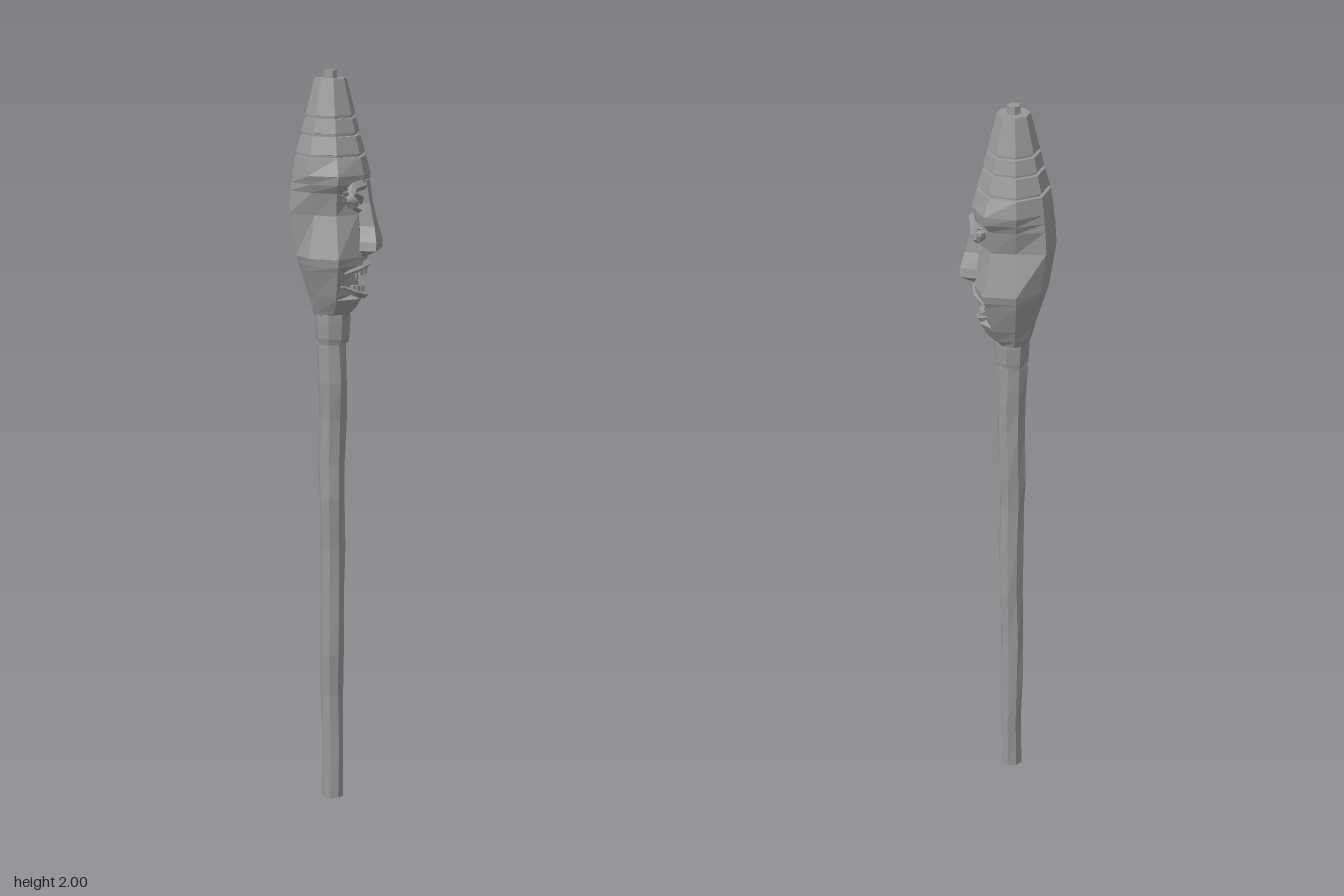
import * as THREE from 'three';

const material = new THREE.MeshStandardMaterial({ color: 0x989898, flatShading: true });

// Joins rings of [x, y, z] points, listed bottom to top, into a capped flat-shaded skin.
// Each ring turns from +z towards +x.
function loft(name, rings) {
  const pos = [], n = rings[0].length;
  const tri = (a, b, c) => pos.push(...a, ...b, ...c);
  for (let k = 0; k < rings.length - 1; k++) {
    for (let i = 0; i < n; i++) {
      const j = (i + 1) % n, lo = rings[k], hi = rings[k + 1];
      tri(lo[i], lo[j], hi[j]);
      tri(lo[i], hi[j], hi[i]);
    }
  }
  const top = rings[rings.length - 1], bottom = rings[0];
  for (let i = 1; i < n - 1; i++) {
    tri(top[0], top[i], top[i + 1]);
    tri(bottom[0], bottom[i + 1], bottom[i]);
  }
  const geo = new THREE.BufferGeometry();
  geo.setAttribute('position', new THREE.Float32BufferAttribute(pos, 3));
  geo.computeVertexNormals();
  const mesh = new THREE.Mesh(geo, material);
  mesh.name = name;
  return mesh;
}

// Eight-sided ring, mirrored in x; radii run from the face round to the back.
function headRing([y, front, side = front, rear = side, back = side]) {
  const half = [front, side, rear, back];
  return [...half, ...half.slice().reverse()].map((r, i) => {
    const a = (i + 0.5) * Math.PI / 4;
    return [r * Math.sin(a), y, r * Math.cos(a)];
  });
}

function place(geo, name, parent, x, y, z, rx = 0, ry = 0, rz = 0) {
  const mesh = new THREE.Mesh(geo, material);
  mesh.name = name;
  mesh.position.set(x, y, z);
  mesh.rotation.set(rx, ry, rz);
  parent.add(mesh);
  return mesh;
}

// Beam of diamond section following a few points from -x to +x, tapering at both ends.
function ridge(name, points, w, h) {
  return loft(name, points.map(([x, y, z], i) => {
    const s = i === 0 || i === points.length - 1 ? 0.35 : 1;
    return [[x, y, z + w * s], [x, y - h * s, z], [x, y, z - w * s], [x, y + h * s, z]];
  }));
}

// The same beam on the chosen side of the face; points run outwards from the nose.
function sideRidge(name, side, points, w, h) {
  const pts = points.map(([x, y, z]) => [side * x, y, z]);
  return ridge(name, side > 0 ? pts : pts.reverse(), w, h);
}

function makePole() {
  // Whittled shaft: uneven octagons that drift slightly off the axis
  const shaft = [[0, 0.03], [0.15, 0.03], [0.3, 0.031], [0.42, 0.033], [0.58, 0.033], [0.72, 0.034],
    [0.86, 0.035], [0.95, 0.037], [1.08, 0.037], [1.18, 0.04], [1.28, 0.04], [1.34, 0.04]];
  const collar = [[1.285, 0.041], [1.3, 0.045], [1.345, 0.048], [1.365, 0.048]];
  const ring = ([y, r], k, wobble) => Array.from({ length: 8 }, (_, i) => {
    const a = (i + 0.5) * Math.PI / 4;
    const rr = r * (1 + wobble * Math.sin(k * 2.3 + i * 1.9));
    return [-0.012 + 0.002 * Math.sin(k * 1.7) + rr * Math.sin(a), y,
      -0.005 + 0.002 * Math.cos(k * 2.1) + rr * Math.cos(a)];
  });
  const group = new THREE.Group();
  group.name = 'pole';
  group.add(loft('shaft', shaft.map((s, k) => ring(s, k, k ? 0.05 : 0))));
  group.add(loft('collar', collar.map((s) => ring(s, 0, 0.03))));
  return group;
}

function makeFace(head) {
  // Long nose, widening to square nostrils
  const nose = [[1.522, 0.03, 0.07, 0.1], [1.537, 0.046, 0.07, 0.131], [1.56, 0.042, 0.07, 0.131],
    [1.6, 0.026, 0.06, 0.123], [1.66, 0.02, 0.06, 0.109], [1.72, 0.024, 0.06, 0.1]];
  head.add(loft('nose', nose.map(([y, w, z0, z1]) => [[-w, y, z1], [w, y, z1], [w * 0.9, y, z0], [-w * 0.9, y, z0]])));

  for (const s of [-1, 1]) {
    // Slanted eye between two heavy lids, under a jutting brow
    const eye = place(new THREE.SphereGeometry(1, 8, 5), 'eyeball', head, s * 0.055, 1.667, 0.067, 0, s * 0.6, s * 0.35);
    eye.scale.set(0.027, 0.014, 0.016);
    head.add(sideRidge('upperLid', s, [[0.024, 1.658, 0.086], [0.042, 1.678, 0.088], [0.064, 1.69, 0.074], [0.084, 1.694, 0.054]], 0.01, 0.007));
    head.add(sideRidge('lowerLid', s, [[0.024, 1.652, 0.084], [0.042, 1.643, 0.084], [0.064, 1.655, 0.07], [0.084, 1.686, 0.05]], 0.01, 0.007));
    head.add(sideRidge('brow', s, [[0.012, 1.7, 0.097], [0.045, 1.71, 0.092], [0.082, 1.705, 0.075], [0.097, 1.68, 0.076]], 0.013, 0.014));
  }

  // Bared mouth: curved lips and two rows of teeth
  const arc = (y, dip, depth) => [-0.07, -0.045, 0, 0.045, 0.07].map((x) =>
    [x, y + dip * (x / 0.07) ** 2, depth - 0.045 * (x / 0.07) ** 2]);
  head.add(ridge('upperLip', arc(1.5, -0.02, 0.1), 0.012, 0.011));
  head.add(ridge('lowerLip', arc(1.415, 0.03, 0.09), 0.012, 0.01));
  const tooth = new THREE.BoxGeometry(0.011, 0.02, 0.012);
  const fang = new THREE.ConeGeometry(0.009, 0.034, 4);
  for (let i = -3; i <= 3; i++) {
    const x = i * 0.0135, z = 0.092 - 9 * x * x, turn = 18 * x;
    if (Math.abs(i) === 3) place(fang, 'fang', head, x, 1.472, z, Math.PI, turn, 0);
    else place(tooth, 'upperTooth', head, x, 1.482, z, 0, turn, 0);
    place(tooth, 'lowerTooth', head, x, 1.43 + Math.abs(i) * 0.002, z - 0.008, 0, turn, 0);
  }
}

function makeHead() {
  const head = new THREE.Group();
  head.name = 'head';
  // Carved block: narrow jaw, broad cheeks, pinched temples, ridged back
  const crown = [1.735, 0.106, 0.113, 0.101, 0.101];
  head.add(loft('skull', [
    [1.355, 0.045, 0.045, 0.045, 0.043], [1.375, 0.068, 0.06, 0.053, 0.05], [1.408, 0.087, 0.08, 0.066, 0.058],
    [1.42, 0.072, 0.085, 0.07, 0.062], [1.485, 0.076, 0.106, 0.092, 0.083], [1.5, 0.099, 0.114, 0.096, 0.088],
    [1.52, 0.1, 0.118, 0.1, 0.093], [1.63, 0.086, 0.084, 0.072, 0.11], [1.69, 0.084, 0.094, 0.086, 0.106],
    [1.712, 0.104, 0.11, 0.094, 0.103], crown].map(headRing)));

  // Tall cap flush with the forehead, its tiers parted by undercut grooves
  const cap = [crown];
  for (const [y, r] of [[1.78, 0.092], [1.833, 0.077], [1.878, 0.066]]) {
    cap.push([y, r + 0.002], [y + 0.001, r - 0.007], [y + 0.008, r - 0.007], [y + 0.009, r]);
  }
  cap.push([1.98, 0.042]);
  head.add(loft('cap', cap.map(headRing)));
  place(new THREE.CylinderGeometry(0.017, 0.019, 0.024, 6), 'capKnob', head, 0, 1.988, 0);

  makeFace(head);
  // The face looks mostly sideways
  head.position.set(-0.015, 0, -0.01);
  head.rotation.y = THREE.MathUtils.degToRad(67.5);
  return head;
}

export function createModel() {
  const model = new THREE.Group();
  model.name = 'carvedStaff';
  model.add(makePole(), makeHead());
  return model;
}
